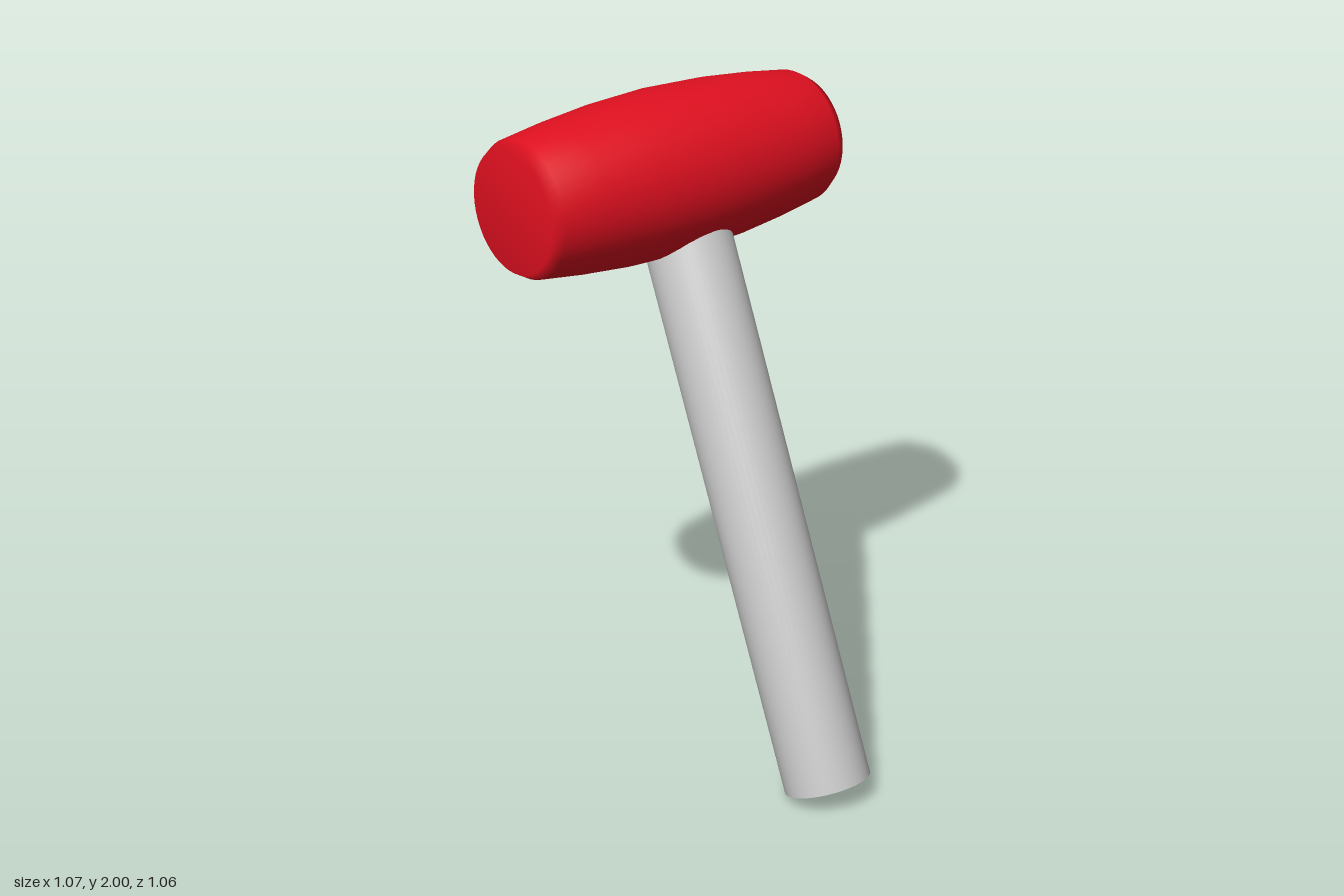
import * as THREE from 'three';

// Smooth turned part from [radius, height] pairs, listed bottom to top
function turned(name, profile, color) {
  const points = profile.map(([r, y]) => new THREE.Vector2(r, y));
  const mesh = new THREE.Mesh(
    new THREE.LatheGeometry(points, 48),
    new THREE.MeshStandardMaterial({ color })
  );
  mesh.name = name;
  return mesh;
}

export function createModel() {
  const group = new THREE.Group();
  group.name = 'mallet';

  // Barrel-shaped head with chamfered ends, lying along z
  const half = [[0.24, 0], [0.232, 0.2], [0.216, 0.36], [0.197, 0.495], [0.177, 0.53], [0, 0.53]];
  const lower = half.slice(1).reverse().map(([r, y]) => [r, -y]);
  const head = turned('head', [...lower, ...half], 0xe01020);
  head.rotation.x = Math.PI / 2;
  head.position.set(-0.295, 1.76, 0);
  group.add(head);

  // Round handle, leaning from its foot up into the head
  const handle = turned('handle', [[0, 0], [0.129, 0], [0.129, 1.8], [0, 1.8]], 0xcccccc);
  handle.rotation.z = 0.39;
  handle.position.set(0.415, 0.05, -0.018);
  group.add(handle);

  return group;
}
